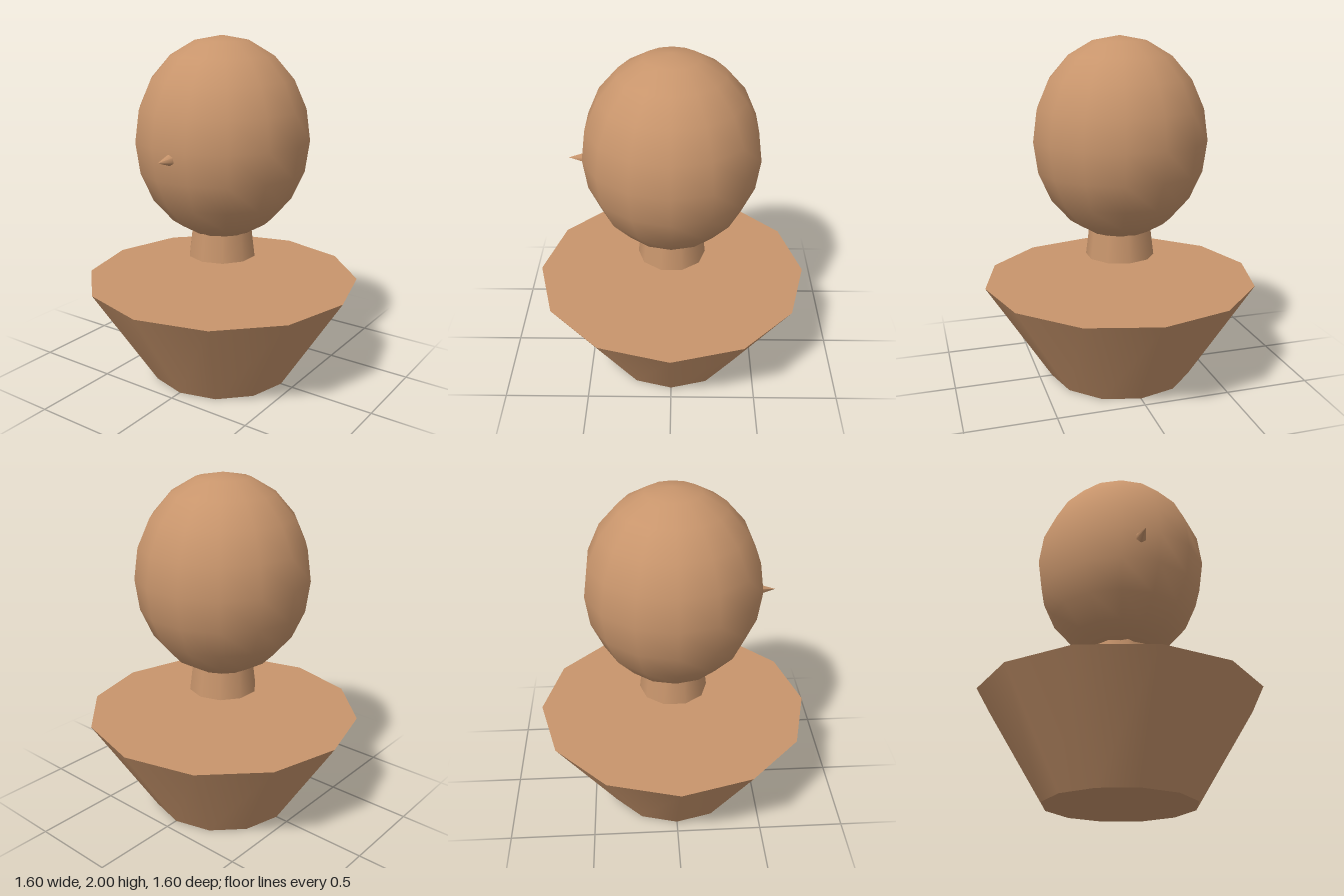
import * as THREE from 'three';

export function createModel() {
  const group = new THREE.Group();
  const skin = new THREE.MeshStandardMaterial({ color: 0xc8956c });
  skin.name = 'skin';

  const add = (name, geometry, y, z = 0) => {
    const mesh = new THREE.Mesh(geometry, skin);
    mesh.name = name;
    mesh.position.set(0, y, z);
    group.add(mesh);
    return mesh;
  };

  // Tapered twelve-sided shoulders
  add('shoulders', new THREE.CylinderGeometry(0.8, 0.425, 0.594, 12), 0.297);

  // Neck, floating above the shoulders and ending inside the head
  add('neck', new THREE.CylinderGeometry(0.16, 0.2, 0.32, 10), 0.895);

  // Egg-shaped head
  add('head', new THREE.SphereGeometry(0.5, 14, 10).scale(1, 1.15, 1), 1.425);

  // Small pointed nose, tip forward
  add('nose', new THREE.ConeGeometry(0.04, 0.12, 6).rotateX(Math.PI / 2), 1.38, 0.515);

  return group;
}
